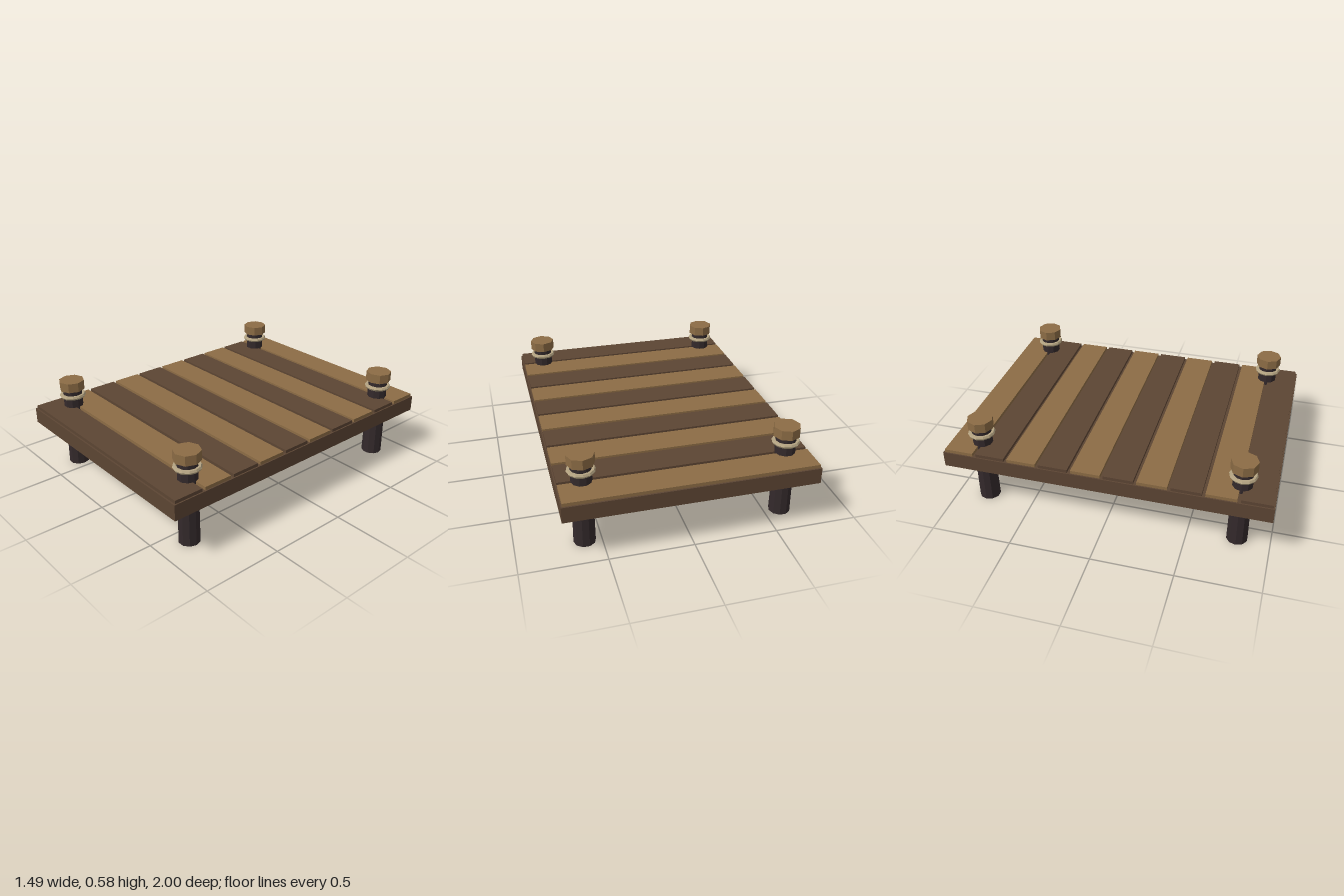
import * as THREE from 'three';

const mat = (name, color) => {
  const m = new THREE.MeshStandardMaterial({ color, flatShading: true });
  m.name = name;
  return m;
};

export function createModel() {
  const lightWood = mat('light wood', 0x8c6c45);
  const darkWood = mat('dark wood', 0x5c4533);
  const postWood = mat('tarred post', 0x33292b);
  const rope = mat('rope', 0xb5a482);

  const dock = new THREE.Group();
  dock.name = 'dock';
  const add = (parent, name, geometry, material, x, y, z) => {
    const mesh = new THREE.Mesh(geometry, material);
    mesh.name = name;
    mesh.position.set(x, y, z);
    parent.add(mesh);
    return mesh;
  };

  // Deck base
  add(dock, 'deckBase', new THREE.BoxGeometry(1.49, 0.098, 2), darkWood, 0, 0.342, 0);

  // Alternating planks with narrow gaps
  const plank = new THREE.BoxGeometry(1.474, 0.03, 0.18);
  for (let i = 0; i < 10; i++) {
    add(dock, 'plank', plank, i % 2 ? darkWood : lightWood, 0, 0.396, -0.9 + 0.2 * i);
  }

  // Four posts, each with a rope ring and an octagonal cap
  const shaft = new THREE.CylinderGeometry(0.06, 0.065, 0.53, 10).rotateY(Math.PI / 2);
  const ring = new THREE.TorusGeometry(0.07, 0.0135, 6, 12).rotateX(Math.PI / 2);
  const cap = new THREE.CylinderGeometry(0.08, 0.08, 0.06, 8);
  for (const x of [-0.6, 0.6]) {
    for (const z of [-0.8, 0.8]) {
      const post = new THREE.Group();
      post.name = 'post';
      post.position.set(x, 0, z);
      add(post, 'shaft', shaft, postWood, 0, 0.265, 0);
      add(post, 'ropeRing', ring, rope, 0, 0.483, 0);
      add(post, 'cap', cap, lightWood, 0, 0.555, 0);
      dock.add(post);
    }
  }
  return dock;
}
